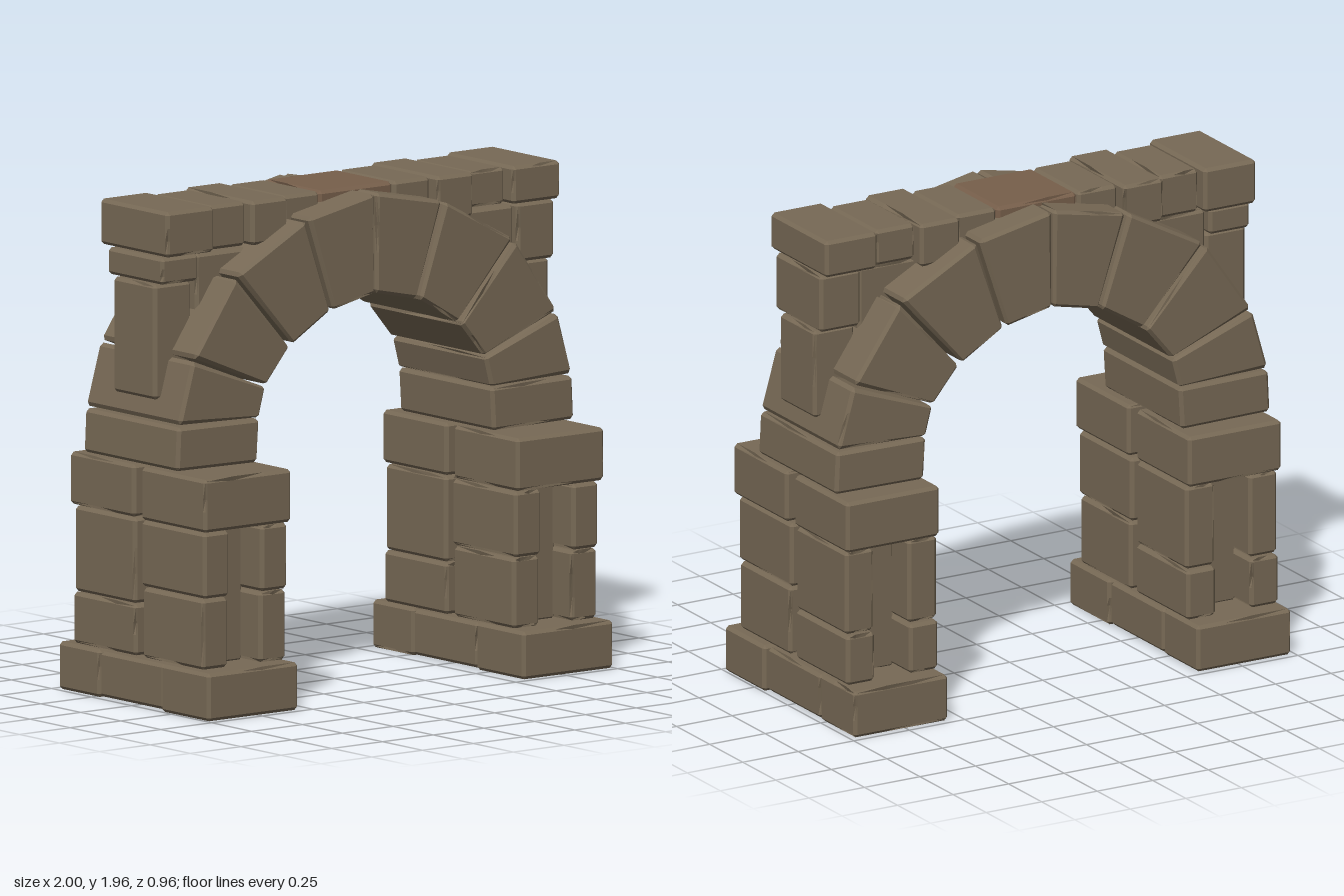
import * as THREE from 'three';

const stoneMat = new THREE.MeshStandardMaterial({ color: 0x776955, flatShading: true });
const brownMat = new THREE.MeshStandardMaterial({ color: 0x775f4b, flatShading: true });

// Repeatable noise in 0..1
const noise = (...k) => {
  const s = Math.sin(k.reduce((sum, v, i) => sum + v * (12.9898 + i * 37.719), 1.3)) * 43758.5453;
  return s - Math.floor(s);
};

const SEG = 5;
let count = 0;

// A chamfered stone with chipped edges: four corners in x/y
// (bottom left, bottom right, top right, top left) drawn from z0 to z1
function stone(name, q, z0, z1, mat = stoneMat) {
  const seed = ++count;
  const dist = (a, b) => Math.hypot(a[0] - b[0], a[1] - b[1]);
  const size = [
    (dist(q[0], q[1]) + dist(q[3], q[2])) / 2,
    (dist(q[0], q[3]) + dist(q[1], q[2])) / 2,
    z1 - z0,
  ];
  const bevel = 0.013;
  const geo = new THREE.BoxGeometry(1, 1, 1, SEG, SEG, SEG);
  const pos = geo.attributes.position;
  for (let v = 0; v < pos.count; v++) {
    const idx = [pos.getX(v), pos.getY(v), pos.getZ(v)].map((c) => Math.round((c + 0.5) * SEG));
    const ends = idx.filter((i) => i === 0 || i === SEG).length;
    // pull edges and corners in; some points along an edge are chipped deeper
    let pull = ends === 3 ? bevel * 0.67 : ends === 2 ? bevel * 0.5 : 0;
    const along = idx.some((i) => i === 2 || i === 3);
    if (ends === 2 && along && noise(seed, ...idx) < 0.22) pull = bevel * (0.9 + 0.5 * noise(...idx, seed));
    const t = idx.map((i, a) => {
      const far = i > SEG / 2;
      const k = far ? SEG - i : i;
      const b = bevel / size[a];
      const shift = k === 2 ? 0.12 * (noise(seed, a, i) - 0.5) : 0;
      const d = k === 0 ? pull / size[a] : k === 1 ? b : 0.36 + shift;
      return far ? 1 - d : d;
    });
    const mix = (c) =>
      (1 - t[1]) * (q[0][c] * (1 - t[0]) + q[1][c] * t[0]) + t[1] * (q[3][c] * (1 - t[0]) + q[2][c] * t[0]);
    pos.setXYZ(v, mix(0), mix(1), z0 + (z1 - z0) * t[2]);
  }
  geo.computeVertexNormals();
  const mesh = new THREE.Mesh(geo, mat);
  mesh.name = name;
  return mesh;
}

const rect = (x0, x1, y0, y1) => [[x0, y0], [x1, y0], [x1, y1], [x0, y1]];
const flip = (q) => [q[1], q[0], q[3], q[2]].map(([x, y]) => [-x, y]);

export function createModel() {
  const model = new THREE.Group();
  model.name = 'stoneArch';
  const group = (name) => {
    const g = new THREE.Group();
    g.name = name;
    model.add(g);
    return g;
  };

  for (const side of [1, -1]) {
    const label = side > 0 ? 'left' : 'right';
    const place = (q) => (side > 0 ? q : flip(q));

    // Pillar: base slabs, paired side stones around a recessed core, capstones
    const pillar = group(label + 'Pillar');
    const addP = (name, x0, x1, y0, y1, z0, z1) =>
      pillar.add(stone(name, place(rect(x0, x1, y0, y1)), z0, z1));
    addP('baseFront', 0.553, 1.0, 0.0, 0.187, 0.18, 0.48);
    addP('baseMiddle', 0.56, 0.985, 0.005, 0.183, -0.22, 0.18);
    addP('baseBack', 0.56, 0.985, 0.0, 0.187, -0.48, -0.22);
    addP('core', 0.68, 0.86, 0.18, 0.78, -0.27, 0.29);
    for (const [x0, x1] of [[0.56, 0.69], [0.845, 0.972]]) {
      addP('frontLowerStone', x0, x1, 0.19, 0.465, 0.03, 0.41);
      addP('frontUpperStone', x0, x1, 0.47, 0.727, 0.02, 0.42);
      addP('backLowerStone', x0, x1, 0.19, 0.39, -0.405, -0.01);
      addP('backUpperStone', x0, x1, 0.395, 0.73, -0.395, -0.015);
    }
    addP('frontCap', 0.555, 0.985, 0.733, 0.94, 0.035, 0.44);
    addP('backCap', 0.56, 0.98, 0.735, 0.94, -0.415, -0.012);

    // Half of the arch ring, from the springer up to the crown
    const arch = group(label + 'ArchHalf');
    const wedges = [
      [[-0.98, 0.95], [-0.58, 0.945], [-0.57, 1.115], [-0.972, 1.12]],
      [[-0.97, 1.13], [-0.57, 1.12], [-0.54, 1.235], [-0.9, 1.375]],
      [[-0.895, 1.385], [-0.535, 1.245], [-0.422, 1.38], [-0.69, 1.68]],
      [[-0.68, 1.69], [-0.405, 1.39], [-0.222, 1.5], [-0.343, 1.87]],
      [[-0.33, 1.875], [-0.205, 1.503], [-0.003, 1.547], [-0.003, 1.94]],
    ];
    wedges.forEach((q, i) =>
      arch.add(stone(i ? 'archStone' : 'springer', side > 0 ? flip(q) : q, -0.33, 0.26)));

    // Wall stones above the haunch; the corner joint height differs per side
    const wall = group(label + 'Wall');
    const addW = (name, x0, x1, y0, y1, z0, z1) =>
      wall.add(stone(name, place(rect(x0, x1, y0, y1)), z0, z1));
    const joint = side > 0 ? 1.565 : 1.66;
    const top = side > 0 ? 1.8 : 1.77;
    addW('lowerCornerStone', 0.79, 0.972, 1.21, joint, -0.155, 0.11);
    addW('upperCornerStone', 0.785, 0.968, joint + 0.005, top, -0.195, 0.15);
    addW('spandrelStone', 0.5, 0.782, 1.53, top - 0.005, -0.17, 0.13);

    // Top course
    const under = top + 0.007;
    addW('endCopingStone', 0.735, 0.97, under, 1.955, -0.24, 0.185);
    addW('copingStone', 0.55, 0.727, under, 1.95, -0.21, 0.145);
    addW('copingStone', 0.368, 0.547, 1.78, 1.953, -0.248, 0.18);
    addW('copingStone', 0.183, 0.362, 1.78, 1.95, -0.21, 0.14);
  }

  // Middle stone of the top course, sunk into the crown
  model.add(stone('middleCopingStone', rect(-0.18, 0.18, 1.78, 1.95), -0.21, 0.135, brownMat));
  return model;
}
